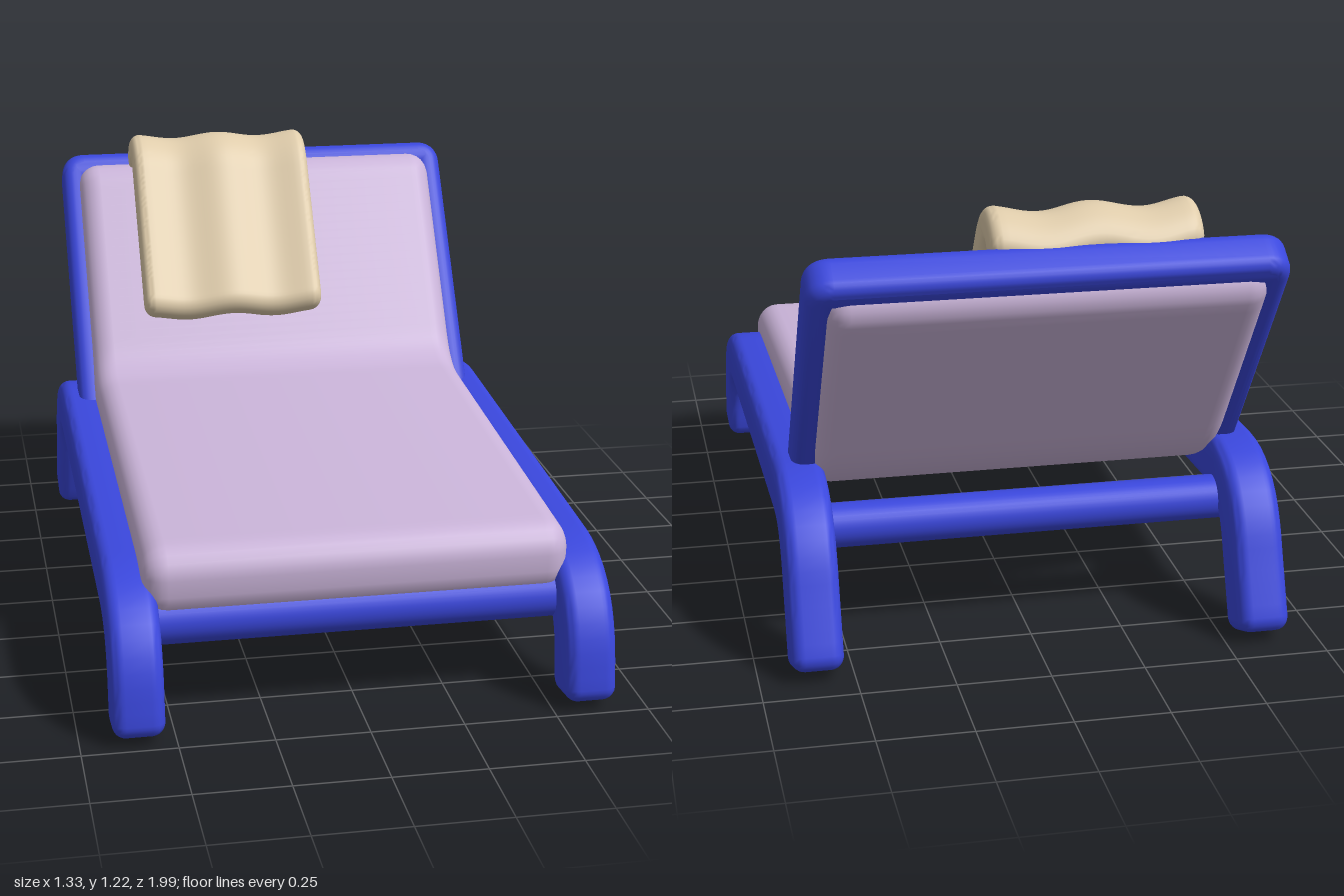
import * as THREE from 'three';
import { toCreasedNormals } from 'three/addons/utils/BufferGeometryUtils.js';

const material = (name, color) => Object.assign(new THREE.MeshStandardMaterial({ color }), { name });

// Closed outline of constant thickness around a path, with rounded end corners.
// It is drawn smaller by the bevel, which the extrusion adds back.
function bandShape(path, half, bevel, corner) {
  const points = [];
  const a = corner / path.getLength();
  const r = corner - bevel;
  const N = 70;
  for (const dir of [1, -1]) {
    let p, t, n;
    for (let i = 0; i <= N; i++) {
      const s = a + (1 - 2 * a) * (i / N);
      const u = dir > 0 ? s : 1 - s;
      p = path.getPointAt(u);
      t = path.getTangentAt(u).multiplyScalar(dir);
      n = new THREE.Vector2(-t.y, t.x);
      points.push(p.clone().addScaledVector(n, half - bevel));
    }
    for (const side of [1, -1]) {
      const centre = p.clone().addScaledVector(n, side * (half - corner));
      for (let k = 0; k <= 5; k++) {
        if (side > 0 && k === 0) continue;
        if (side < 0 && k === 5) continue;
        const angle = (side > 0 ? k / 5 : 1 - k / 5) * Math.PI / 2;
        points.push(centre.clone()
          .addScaledVector(n, side * r * Math.cos(angle))
          .addScaledVector(t, r * Math.sin(angle)));
      }
    }
  }
  return new THREE.Shape(points);
}

// Extrusion of the given total width, centred, with rounded edges
function roundedExtrude(shape, width, bevel, steps = 1) {
  const geometry = new THREE.ExtrudeGeometry(shape, {
    depth: width - 2 * bevel, steps, curveSegments: 8,
    bevelSize: bevel, bevelThickness: bevel, bevelSegments: 6,
  });
  return geometry.translate(0, 0, bevel - width / 2);
}

// Side profile (z, y) swept across x
function sideBand(path, half, bevel, corner, width, steps) {
  return roundedExtrude(bandShape(path, half, bevel, corner), width, bevel, steps).rotateY(-Math.PI / 2);
}

export function createModel() {
  const model = new THREE.Group();
  model.name = 'lounger';
  const blue = material('blue frame', 0x3a47dc);
  const lilac = material('lilac cushion', 0xcbb5da);
  const beige = material('beige towel', 0xdfccab);

  const add = (name, geometry, mat, x = 0, y = 0, z = 0) => {
    const mesh = new THREE.Mesh(toCreasedNormals(geometry, 0.9), mat);
    mesh.name = name;
    mesh.position.set(x, y, z);
    model.add(mesh);
    return mesh;
  };

  // Side rails, each bending down into a front and a rear leg
  const rail = new THREE.Path();
  rail.moveTo(0.922, 0.03);
  rail.lineTo(0.91, 0.13);
  rail.bezierCurveTo(0.895, 0.27, 0.82, 0.34, 0.66, 0.347);
  rail.lineTo(-0.56, 0.41);
  rail.bezierCurveTo(-0.72, 0.415, -0.77, 0.32, -0.80, 0.23);
  rail.lineTo(-0.88, 0.03);
  for (const [name, side] of [['leftRail', 1], ['rightRail', -1]]) {
    add(name, sideBand(rail, 0.078, 0.035, 0.04, 0.137), blue, side * 0.598);
  }

  // Cross bars between the rails
  const bar = (radius) => new THREE.CylinderGeometry(radius, radius, 1.16, 32).rotateZ(Math.PI / 2);
  add('frontBar', bar(0.066), blue, 0, 0.282, 0.795);
  add('rearBar', bar(0.06), blue, 0, 0.328, -0.64);

  // Backrest frame: two posts and a top bar, leaning back
  const frame = new THREE.Shape();
  const X = 0.58, T = 0.74, B = -0.06, R = 0.035;
  frame.moveTo(X, B);
  frame.lineTo(X, T - R);
  frame.quadraticCurveTo(X, T, X - R, T);
  frame.lineTo(R - X, T);
  frame.quadraticCurveTo(-X, T, -X, T - R);
  frame.lineTo(-X, B);
  frame.lineTo(-X + 0.01, B);
  frame.lineTo(-X + 0.01, T - 0.02);
  frame.lineTo(X - 0.01, T - 0.02);
  frame.lineTo(X - 0.01, B);
  const backFrame = add('backrestFrame', roundedExtrude(frame, 0.12, 0.035), blue, 0, 0.49, -0.521);
  backFrame.rotation.x = -0.6017;

  // One cushion forming the seat and the backrest
  const cushion = new THREE.Path();
  cushion.moveTo(0.86, 0.388);
  cushion.lineTo(-0.36, 0.462);
  cushion.quadraticCurveTo(-0.496, 0.47, -0.573, 0.582);
  cushion.lineTo(-0.928, 1.099);
  add('cushion', sideBand(cushion, 0.098, 0.065, 0.08, 1.135), lilac);

  // Towel folded over the top of the backrest, gently rippled across
  const towel = new THREE.Path();
  towel.moveTo(-0.472, 0.727);
  towel.lineTo(-0.735, 1.11);
  towel.quadraticCurveTo(-0.80, 1.205, -0.865, 1.15);
  towel.lineTo(-0.905, 1.10);
  const towelGeometry = sideBand(towel, 0.05, 0.032, 0.046, 0.55, 28);
  const pos = towelGeometry.attributes.position;
  for (let i = 0; i < pos.count; i++) {
    const wave = Math.cos(pos.getX(i) * 2 * Math.PI / 0.27);
    pos.setY(i, pos.getY(i) + 0.009 * wave);
    pos.setZ(i, pos.getZ(i) + 0.007 * wave);
  }
  add('towel', towelGeometry, beige, -0.13);

  return model;
}
